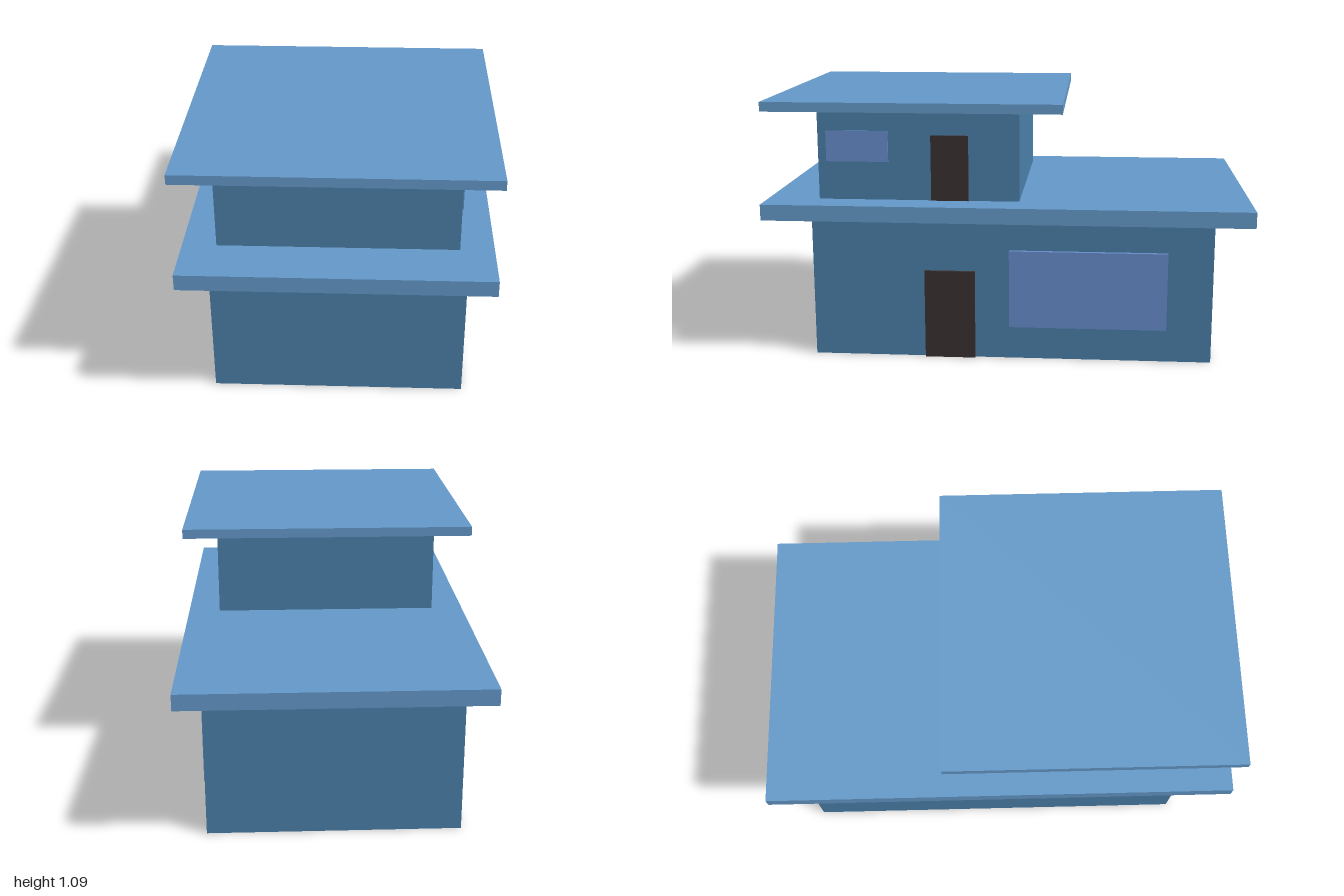
import * as THREE from 'three';

const material = (color) => new THREE.MeshStandardMaterial({ color });

export function createModel() {
  const house = new THREE.Group();
  house.name = 'house';

  const wall = material(0x4a7fa9);
  const roof = material(0x6499c9);
  const door = material(0x3a3030);
  const glass = material(0x668cca);

  // Box given by its extents along each axis
  function block(name, mat, [x0, x1], [y0, y1], [z0, z1]) {
    const mesh = new THREE.Mesh(new THREE.BoxGeometry(x1 - x0, y1 - y0, z1 - z0), mat);
    mesh.position.set((x0 + x1) / 2, (y0 + y1) / 2, (z0 + z1) / 2);
    mesh.name = name;
    house.add(mesh);
  }

  // Ground floor and its overhanging roof slab
  block('lowerWalls', wall, [-0.51, 0.51], [0, 0.592], [-0.85, 0.813]);
  block('lowerRoof', roof, [-0.61, 0.61], [0.6, 0.666], [-1, 1]);

  // Upper floor, set towards the front, with a thinner roof
  block('upperWalls', wall, [-0.475, 0.475], [0.592, 1.036], [-0.05, 0.785]);
  block('upperRoof', roof, [-0.61, 0.61], [1.047, 1.086], [-0.23, 0.983]);

  // Doors and windows standing slightly proud of the +x walls
  block('lowerDoor', door, [0.49, 0.523], [0, 0.375], [0.133, 0.343]);
  block('lowerWindow', glass, [0.49, 0.527], [0.14, 0.467], [-0.663, -0.01]);
  block('upperDoor', door, [0.455, 0.482], [0.666, 0.938], [0.16, 0.315]);
  block('upperWindow', glass, [0.455, 0.482], [0.826, 0.954], [0.492, 0.75]);

  return house;
}
